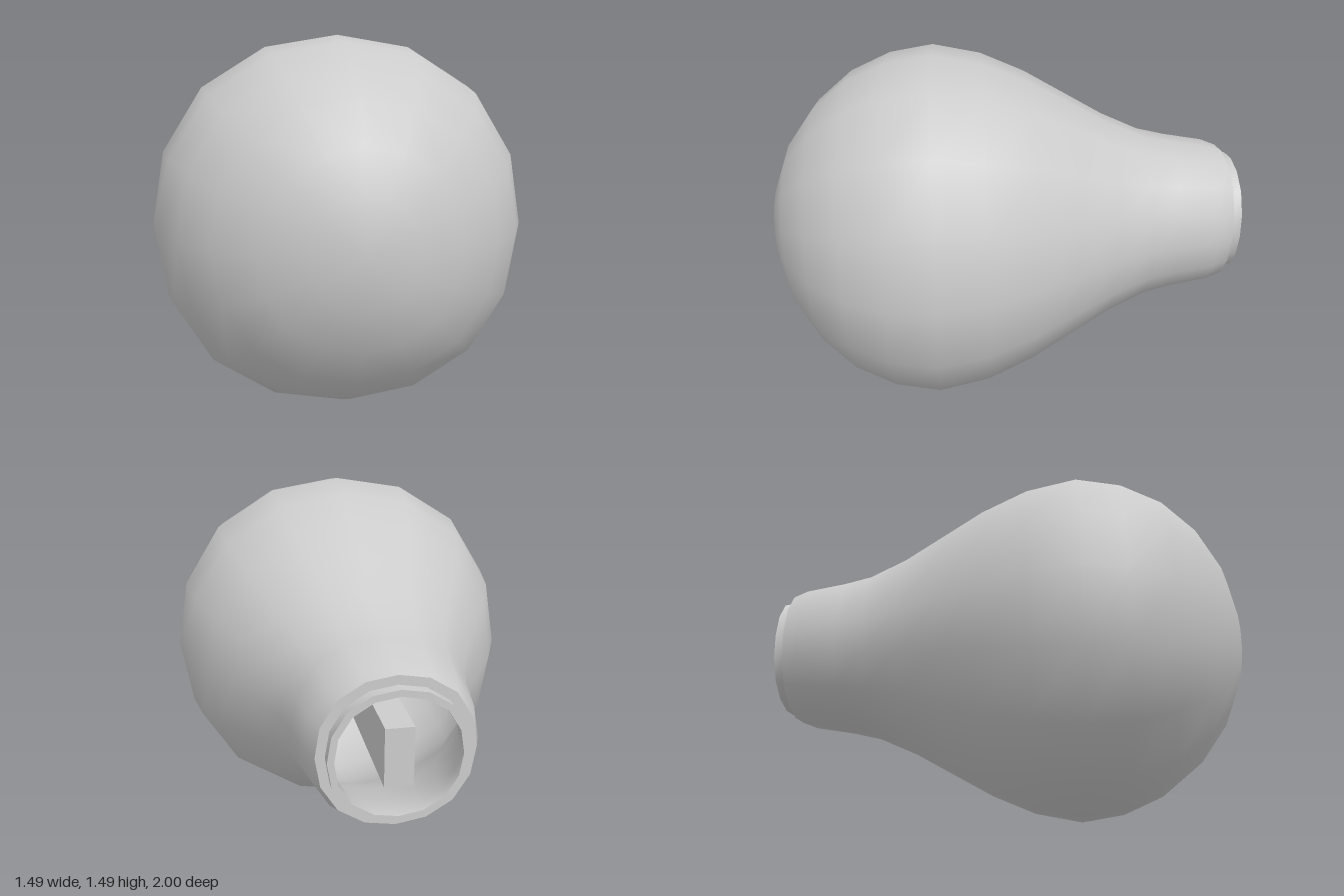
import * as THREE from 'three';
import { toCreasedNormals } from 'three/addons/utils/BufferGeometryUtils.js';

const material = new THREE.MeshStandardMaterial({ color: 0xcccccc });
const SIDES = 16, AXIS_Y = 0.75, WALL = 0.025;

// Outer profile as [radius, z], from the neck to the front of the bulb
const outer = [
  [0.285, -0.955], [0.31, -0.89], [0.338, -0.72], [0.365, -0.6],
  [0.435, -0.44], [0.53, -0.27], [0.625, -0.1], [0.705, 0.09],
  [0.745, 0.295], [0.715, 0.48], [0.64, 0.65], [0.52, 0.795],
  [0.36, 0.91], [0.19, 0.975], [0, 0.998],
];

// Collar: stepped thin ring around the open end
const collar = [[0.225, -1], [0.25, -1], [0.25, -0.955]];

// Inner wall runs from the bulb front back to the opening
function innerProfile() {
  const wall = outer.slice(3).map(([r, z]) => [Math.max(0, r - WALL), z > 0.3 ? z - WALL * (z - 0.3) / 0.7 : z]);
  return [...wall.reverse(), [0.27, -0.8], [0.225, -0.955]];
}

function createShell() {
  const points = [...innerProfile(), ...collar, ...outer].map(([r, z]) => new THREE.Vector2(r, z));
  const geometry = new THREE.LatheGeometry(points, SIDES).rotateX(Math.PI / 2);

  // Very slightly squared cross-section: fuller on the diagonals
  const p = geometry.attributes.position;
  for (let i = 0; i < p.count; i++) {
    const x = p.getX(i), y = p.getY(i);
    const k = 1 + 0.0128 * (1 - Math.cos(4 * Math.atan2(y, x)));
    p.setXY(i, x * k, y * k);
  }
  const mesh = new THREE.Mesh(toCreasedNormals(geometry, 0.6), material);
  mesh.name = 'bulbShell';
  mesh.position.y = AXIS_Y;
  return mesh;
}

// Upright bar running inside the neck, flush with the opening
function createBar() {
  const length = 0.7;
  const mesh = new THREE.Mesh(new THREE.BoxGeometry(0.105, 0.22, length), material);
  mesh.name = 'innerBar';
  mesh.position.set(0, AXIS_Y, -0.995 + length / 2);
  return mesh;
}

export function createModel() {
  const model = new THREE.Group();
  model.name = 'bulb';
  model.add(createShell(), createBar());
  return model;
}
